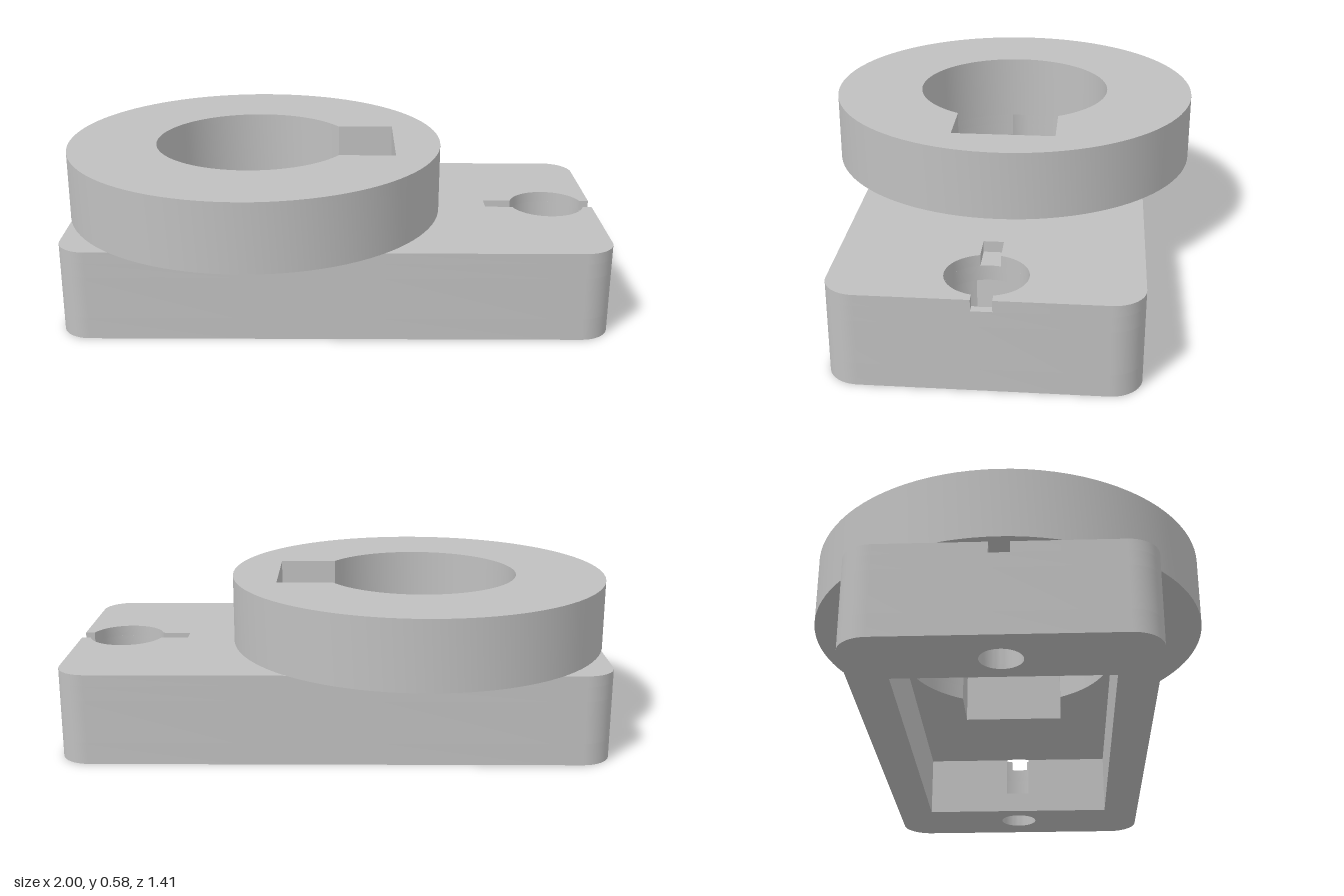
import * as THREE from 'three';
import { toCreasedNormals } from 'three/addons/utils/BufferGeometryUtils.js';

const MID = 0.015, HALF_X = 0.985, HALF_Z = 0.515, CORNER = 0.11; // base plate
const RING_X = -0.295, RING_R = 0.705, HOLE_R = 0.372;            // ring and its hole
const KEY_X = 0.235, KEY_Z = 0.19;                                // keyway
const BOLT = 0.815, BOLT_R = 0.073, BORE_R = 0.14;                // bolt holes
const POCKET_X = 0.683, POCKET_Z = 0.375;                         // pocket underneath
const SLOT_Z = 0.035, SLOT_END = 0.59;                            // top slots

// Points on an arc
function arc(cx, cy, r, from, to, n = 32) {
  return Array.from({ length: n + 1 }, (_, i) => {
    const a = from + (to - from) * i / n;
    return new THREE.Vector2(cx + r * Math.cos(a), cy + r * Math.sin(a));
  });
}
const p = (x, y) => new THREE.Vector2(x, y);
const circle = (x, r, n = 64) => arc(x, 0, r, 0, Math.PI * 2, n).slice(0, -1);

// Closes a half contour by mirroring it over the long axis
function mirrored(half) {
  const back = half.filter(v => v.y > 1e-6).map(v => p(v.x, -v.y)).reverse();
  return [...half, ...back];
}

// Stands a flat outline with holes up between two heights
function slab(name, outline, holes, y0, y1, material) {
  const shape = new THREE.Shape(outline);
  shape.holes = holes.map(h => new THREE.Path(h));
  const geo = new THREE.ExtrudeGeometry(shape, { depth: y1 - y0, bevelEnabled: false });
  geo.rotateX(-Math.PI / 2).translate(0, y0, 0);
  const mesh = new THREE.Mesh(toCreasedNormals(geo, 0.5), material);
  mesh.name = name;
  return mesh;
}

export function createModel() {
  const grey = new THREE.MeshStandardMaterial({ color: 0xc0c0c0 });
  grey.name = 'plain grey';
  const group = new THREE.Group();
  group.name = 'keyedRingMount';

  const right = MID + BOLT, left = MID - BOLT;
  const endR = MID + HALF_X, endL = MID - HALF_X;

  // Rounded plate outline, upper half from left to right
  const plateHalf = [
    ...arc(endL + CORNER, HALF_Z - CORNER, CORNER, Math.PI, Math.PI / 2, 12),
    ...arc(endR - CORNER, HALF_Z - CORNER, CORNER, Math.PI / 2, 0, 12),
  ];
  const plate = mirrored(plateHalf);

  // Round hole with keyway
  const keyAngle = Math.asin(KEY_Z / HOLE_R);
  const key = [p(KEY_X, 0), p(KEY_X, KEY_Z)];
  const keyhole = mirrored([...key, ...arc(RING_X, 0, HOLE_R, keyAngle, Math.PI, 48)]);

  // Pocket, with both counterbores breaking through its end walls
  const cut = Math.acos((BOLT - POCKET_X) / BORE_R);
  const pocket = mirrored([
    ...arc(right, 0, BORE_R, 0, Math.PI - cut),
    p(MID + POCKET_X, POCKET_Z), p(MID - POCKET_X, POCKET_Z),
    ...arc(left, 0, BORE_R, cut, Math.PI),
  ]);
  const plainPocket = mirrored([p(MID + POCKET_X, POCKET_Z), p(MID - POCKET_X, POCKET_Z)]);

  // Keyed hole where it meets the left counterbore
  const d = RING_X - left;
  const a = (d * d + HOLE_R ** 2 - BORE_R ** 2) / (2 * d);
  const meetHole = Math.PI - Math.acos(a / HOLE_R);
  const meetBore = Math.acos((d - a) / BORE_R);
  const holeArc = arc(RING_X, 0, HOLE_R, keyAngle, meetHole, 48);
  const joinedHole = mirrored([...key, ...holeArc, ...arc(left, 0, BORE_R, meetBore, Math.PI).slice(1)]);

  // Top layer: slots run from the end faces through the counterbores
  const slot = Math.asin(SLOT_Z / BORE_R);
  const slotted = mirrored([
    ...key, ...holeArc,
    ...arc(left, 0, BORE_R, meetBore, Math.PI - slot).slice(1),
    p(endL, SLOT_Z), ...plateHalf, p(endR, SLOT_Z),
    ...arc(right, 0, BORE_R, slot, Math.PI - slot),
    p(SLOT_END, SLOT_Z), p(SLOT_END, 0),
  ]);

  group.add(
    slab('baseRim', plate, [plainPocket, circle(right, BOLT_R), circle(left, BOLT_R)], 0, 0.08, grey),
    slab('baseWalls', plate, [pocket], 0.08, 0.236, grey),
    slab('pocketRoof', plate, [joinedHole, circle(right, BORE_R)], 0.236, 0.29, grey),
    slab('slottedTop', slotted, [], 0.29, 0.33, grey),
    slab('keyedRing', circle(RING_X, RING_R, 96), [keyhole], 0.33, 0.585, grey),
  );
  return group;
}
